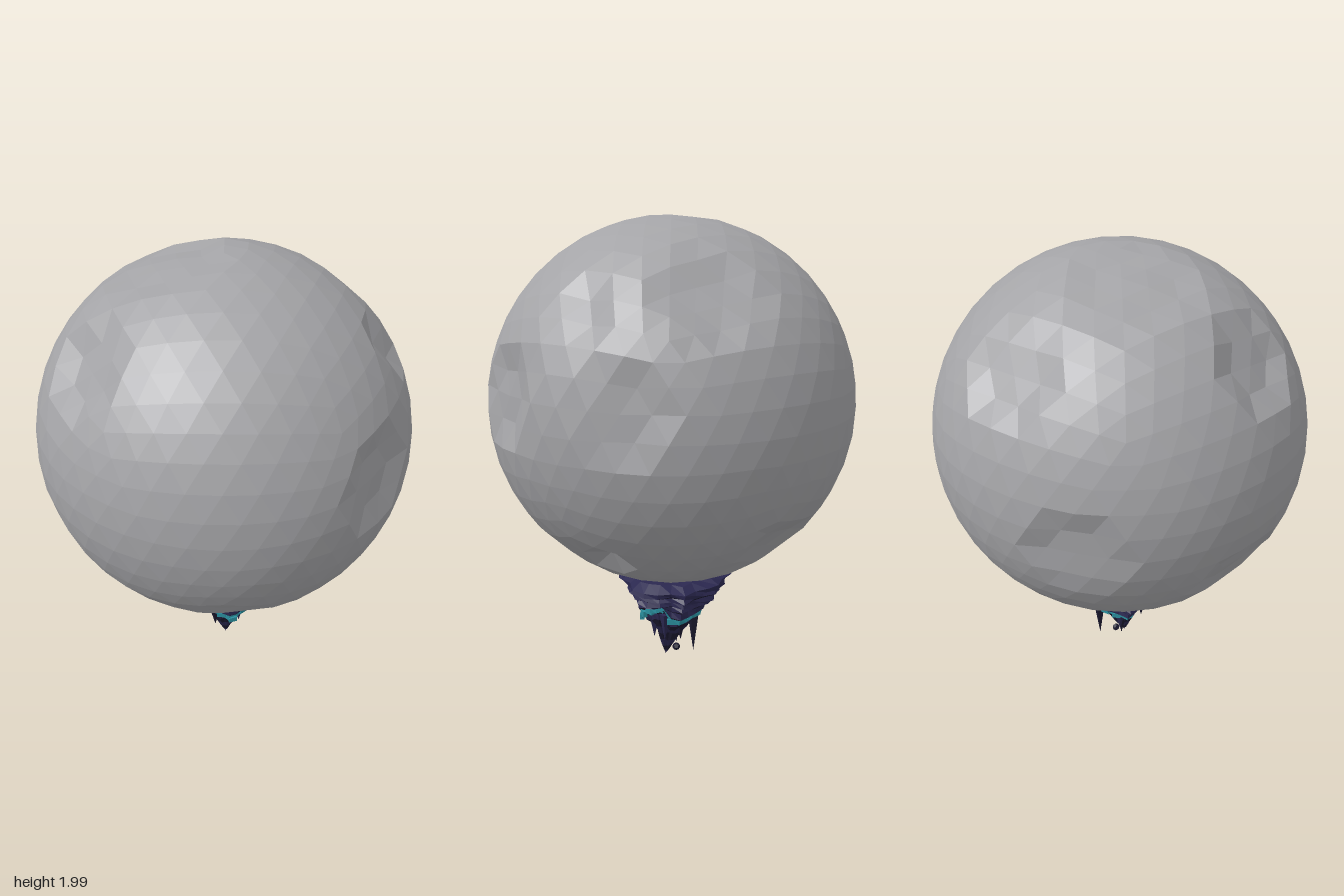
import * as THREE from 'three';

const mat = (name, color) => {
  const m = new THREE.MeshStandardMaterial({ color, flatShading: true, side: THREE.DoubleSide });
  m.name = name;
  return m;
};

function seeded(seed) {
  return () => {
    seed = (seed * 16807) % 2147483647;
    return seed / 2147483647;
  };
}

// crater: direction from the moon's centre, angular radius, depth
const CRATERS = [
  [[0.43, 0.11, 0.64], 0.27, 0.045],
  [[0.76, 0.1, 0.14], 0.24, 0.035],
  [[0.5, -0.54, 0.25], 0.14, 0.05],
  [[0.56, 0.46, 0.3], 0.15, 0.04],
  [[0.57, 0.5, -0.15], 0.28, 0.04],
  [[-0.2, 0.74, -0.1], 0.35, 0.03],
  [[-0.6, 0.46, 0.17], 0.25, 0.05],
  [[-0.15, 0.5, -0.64], 0.24, 0.045],
  [[-0.5, -0.08, -0.6], 0.24, 0.035],
  [[-0.68, -0.36, 0.05], 0.27, 0.035],
  [[-0.15, -0.5, 0.56], 0.17, 0.03],
  [[0.15, -0.62, 0.4], 0.24, 0.03],
  [[0.43, -0.52, -0.42], 0.24, 0.035],
].map(([d, r, depth]) => ({ dir: new THREE.Vector3(...d).normalize(), r, depth }));

// faceted sphere with shallow bowls pushed into it
function moonGeometry(radius) {
  const g = new THREE.IcosahedronGeometry(1, 7);
  g.rotateZ(-Math.atan(2 / (1 + Math.sqrt(5))));
  const p = g.attributes.position;
  const v = new THREE.Vector3();
  for (let i = 0; i < p.count; i++) {
    v.fromBufferAttribute(p, i).normalize();
    let r = radius;
    for (const c of CRATERS) {
      const t = v.angleTo(c.dir) / c.r;
      r -= c.depth * (1 - THREE.MathUtils.smoothstep(t, 0.55, 1));
    }
    v.multiplyScalar(r);
    p.setXYZ(i, v.x, v.y, v.z);
  }
  g.computeVertexNormals();
  return g;
}

// skin between ragged rings, one colour group per row
function rockGeometry(rows, sides, random) {
  const pos = [], index = [];
  const g = new THREE.BufferGeometry();
  const lobes = Array.from({ length: sides }, () => 0.92 + random() * 0.16);
  rows.forEach(([y, r, , wave = 0]) => {
    for (let s = 0; s < sides; s++) {
      const a = (s / sides) * Math.PI * 2;
      const k = r * lobes[s] * (0.95 + random() * 0.1);
      const dip = wave * (Math.abs(Math.cos(a)) - 0.6) * (Math.sin(a) > 0 ? 1 : -0.5);
      pos.push(Math.cos(a) * k * 1.06, y + dip + (random() - 0.5) * 0.008, Math.sin(a) * k * 0.96);
    }
  });
  for (let i = 0; i < rows.length - 1; i++) {
    g.addGroup(index.length, sides * 6, rows[i][2]);
    for (let s = 0; s < sides; s++) {
      const a = i * sides + s, b = i * sides + ((s + 1) % sides);
      index.push(a, b, a + sides, b, b + sides, a + sides);
    }
  }
  g.setAttribute('position', new THREE.Float32BufferAttribute(pos, 3));
  g.setIndex(index);
  const flat = g.toNonIndexed();
  flat.groups = g.groups;
  flat.computeVertexNormals();
  return flat;
}

export function createModel() {
  const model = new THREE.Group();
  const random = seeded(4321);
  const stone = mat('moon grey', 0xa4a4a7);
  const navy = mat('navy rock', 0x2b2850);
  const dark = mat('dark rock', 0x1b192f);
  const teal = mat('teal crystal', 0x2a8f9e);

  const add = (name, geometry, material, x = 0, y = 0, z = 0) => {
    const m = new THREE.Mesh(geometry, material);
    m.name = name;
    m.position.set(x, y, z);
    model.add(m);
    return m;
  };

  add('moon', moonGeometry(0.78), stone, 0, 1.22, 0);

  // layered rock: height, radius, colour of the row below, waviness
  const rows = [
    [0.45, 0.001, 0], [0.448, 0.2, 0], [0.425, 0.255, 0], [0.405, 0.25, 1],
    [0.4, 0.225, 0], [0.378, 0.232, 1], [0.37, 0.208, 0], [0.348, 0.216, 1],
    [0.34, 0.19, 0, 0.02], [0.318, 0.195, 1, 0.03], [0.31, 0.17, 0, 0.05],
    [0.287, 0.168, 1, 0.09], [0.279, 0.147, 2, 0.11], [0.252, 0.147, 1, 0.11],
    [0.244, 0.125, 0, 0.1], [0.215, 0.113, 1, 0.07], [0.18, 0.088, 0, 0.03],
    [0.14, 0.062, 1], [0.1, 0.045, 0], [0.06, 0.026, 1], [0.03, 0.012, 0], [0.012, 0.001, 0],
  ];
  const rock = add('floatingRock', rockGeometry(rows, 26, random), [navy, dark, teal]);
  // lean the tip towards the front
  const p = rock.geometry.attributes.position;
  for (let i = 0; i < p.count; i++) {
    p.setZ(i, p.getZ(i) + 0.03 * Math.max(0, 1 - p.getY(i) / 0.25));
  }
  rock.geometry.computeVertexNormals();

  // hanging rock spikes: x, z, tip height, top height, radius
  const spikes = [
    [0.0, 0.03, 0.004, 0.16, 0.03], [-0.04, -0.02, 0.045, 0.22, 0.035],
    [0.125, 0.03, 0.135, 0.27, 0.025], [0.03, -0.1, 0.04, 0.24, 0.03],
    [0.05, 0.08, 0.12, 0.26, 0.035], [-0.07, 0.08, 0.13, 0.27, 0.035],
    [-0.08, -0.06, 0.13, 0.27, 0.035], [0.06, -0.04, 0.11, 0.25, 0.035],
  ];
  spikes.forEach(([x, z, low, high, r], i) => {
    const cone = new THREE.ConeGeometry(r, high - low, 5).rotateX(Math.PI).rotateY(i);
    add('rockSpike', cone, i % 2 ? dark : navy, x, (low + high) / 2, z);
  });

  // loose pebble under the rock
  add('pebble', new THREE.DodecahedronGeometry(0.018), dark, 0.005, 0.045, -0.02);

  // crystal chips along the teal seam and at the top
  for (let i = 0; i < 16; i++) {
    const a = (i / 16) * Math.PI * 2;
    const y = 0.262 + 0.1 * (Math.abs(Math.cos(a)) - 0.6) * (Math.sin(a) > 0 ? 1 : -0.5);
    const chip = new THREE.BoxGeometry(0.02, 0.016 + random() * 0.014, 0.04);
    add('crystalChip', chip, teal, Math.cos(a) * 0.142, y, Math.sin(a) * 0.138).rotation.y = -a;
  }
  for (let i = 0; i < 5; i++) {
    const chip = new THREE.BoxGeometry(0.02, 0.02, 0.02);
    add('topCrystal', chip, teal, -0.12 + i * 0.025, 0.455, 0.13 + random() * 0.04);
  }

  return model;
}
